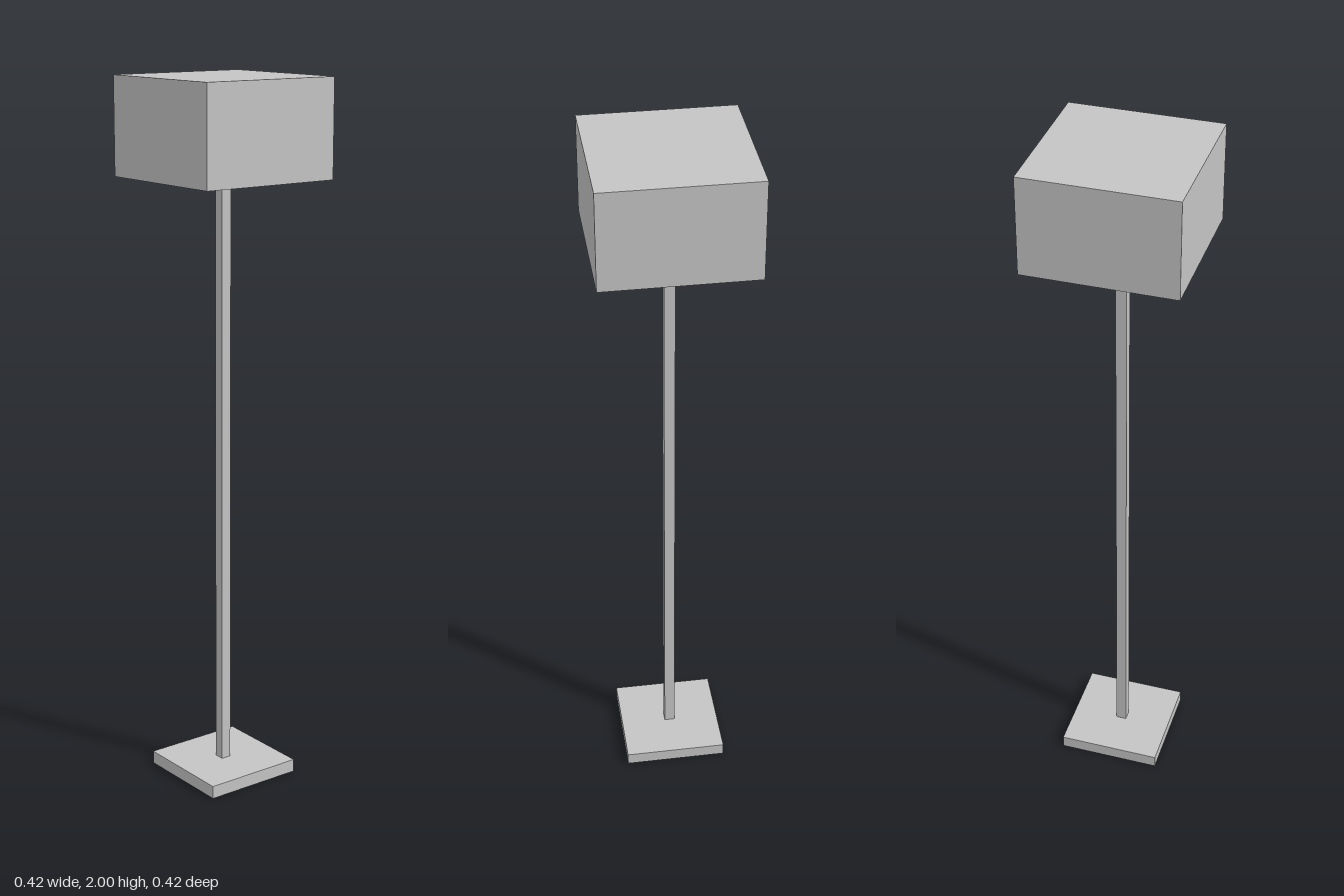
import * as THREE from 'three';

export function createModel() {
  const lamp = new THREE.Group();
  lamp.name = 'floorLamp';

  const lightGrey = new THREE.MeshStandardMaterial({ color: 0xc4c4c4 });
  lightGrey.name = 'lightGrey';

  // Square block centred on the axis, from height y0 to y1
  const block = (name, width, y0, y1) => {
    const mesh = new THREE.Mesh(new THREE.BoxGeometry(width, y1 - y0, width), lightGrey);
    mesh.name = name;
    mesh.position.y = (y0 + y1) / 2;
    lamp.add(mesh);
  };

  block('base', 0.295, 0, 0.037);
  block('pole', 0.03, 0.037, 1.728);
  block('shade', 0.42, 1.728, 2);

  return lamp;
}
